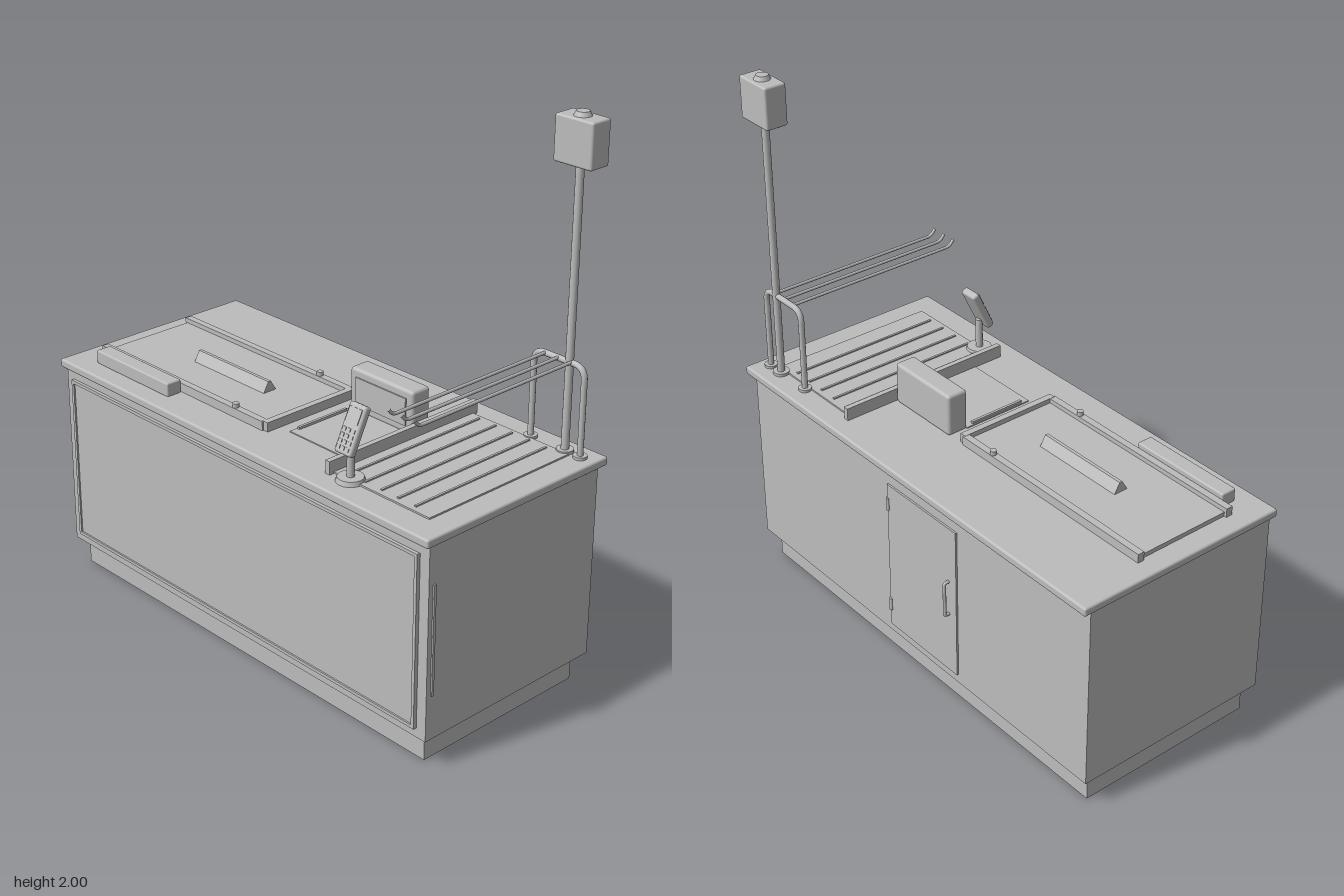
import * as THREE from 'three';
import { RoundedBoxGeometry } from 'three/addons/geometries/RoundedBoxGeometry.js';

const grey = new THREE.MeshStandardMaterial({ color: 0xbcbcbc });
grey.name = 'metalGrey';

export function createModel() {
  const root = new THREE.Group();
  root.name = 'checkoutCounter';

  const add = (name, geometry, parent = root) => {
    const mesh = new THREE.Mesh(geometry, grey);
    mesh.name = name;
    parent.add(mesh);
    return mesh;
  };
  const centre = (m, a, b, c, d, e, f) => (m.position.set((a + b) / 2, (c + d) / 2, (e + f) / 2), m);
  // Box given by its limits on x, y and z
  const box = (name, a, b, c, d, e, f, parent) =>
    centre(add(name, new THREE.BoxGeometry(b - a, d - c, f - e), parent), a, b, c, d, e, f);
  const soft = (name, a, b, c, d, e, f, r, parent) =>
    centre(add(name, new RoundedBoxGeometry(b - a, d - c, f - e, 3, r), parent), a, b, c, d, e, f);
  // Upright cylinder from y0 to y1
  const post = (name, x, z, y0, y1, r, parent, top = r) => {
    const m = add(name, new THREE.CylinderGeometry(top, r, y1 - y0, 20), parent);
    m.position.set(x, (y0 + y1) / 2, z);
    return m;
  };
  // Straight tube path with rounded corners
  const pipe = (name, points, bend, r, parent) => {
    const p = points.map(q => new THREE.Vector3(...q));
    const path = new THREE.CurvePath();
    let last = p[0];
    for (let i = 1; i < p.length - 1; i++) {
      const inn = p[i].clone().add(p[i - 1].clone().sub(p[i]).setLength(bend));
      const out = p[i].clone().add(p[i + 1].clone().sub(p[i]).setLength(bend));
      path.add(new THREE.LineCurve3(last, inn));
      path.add(new THREE.QuadraticBezierCurve3(inn, p[i], out));
      last = out;
    }
    path.add(new THREE.LineCurve3(last, p[p.length - 1]));
    return add(name, new THREE.TubeGeometry(path, 90, r, 10), parent);
  };

  // Cabinet
  box('plinth', -0.89, 0.88, 0, 0.11, -0.35, 0.36);
  box('cabinetBody', -0.92, 0.92, 0.105, 0.812, -0.385, 0.398);
  soft('worktop', -0.932, 0.932, 0.81, 0.842, -0.42, 0.42, 0.008);

  // Front panel with a raised border
  box('frontPanel', -0.88, 0.88, 0.14, 0.77, 0.39, 0.406);
  for (const y of [0.14, 0.76]) box('frontTrim', -0.88, 0.88, y, y + 0.012, 0.4, 0.412);
  for (const x of [-0.88, 0.868]) box('frontTrim', x, x + 0.012, 0.14, 0.772, 0.4, 0.412);
  box('sideStrip', 0.915, 0.926, 0.27, 0.67, 0.37, 0.38);

  // Rear door
  const door = new THREE.Group();
  door.name = 'rearDoor';
  root.add(door);
  box('doorLeaf', -0.26, 0.115, 0.14, 0.74, -0.392, -0.38, door);
  pipe('doorHandle', [[-0.22, 0.385, -0.385], [-0.22, 0.385, -0.41],
    [-0.22, 0.52, -0.41], [-0.22, 0.52, -0.385]], 0.008, 0.006, door);
  for (const y of [0.23, 0.66]) post('hinge', 0.112, -0.392, y - 0.025, y + 0.025, 0.007, door);

  // Conveyor
  const conveyor = new THREE.Group();
  conveyor.name = 'conveyor';
  root.add(conveyor);
  box('belt', -0.85, 0.015, 0.838, 0.858, -0.11, 0.26, conveyor);
  for (const z of [-0.135, 0.255]) {
    box('beltRail', -0.86, 0.02, 0.838, 0.875, z, z + 0.026, conveyor);
    post('beltSensor', -0.13, z + 0.013, 0.87, 0.89, 0.012, conveyor);
  }
  box('beltEnd', 0.015, 0.04, 0.838, 0.876, -0.128, 0.275, conveyor);
  soft('dividerTray', -0.81, -0.405, 0.84, 0.892, 0.284, 0.345, 0.006, conveyor);

  // Triangular goods divider on the belt
  const tri = new THREE.Shape([[-0.028, 0], [0.028, 0], [0.006, 0.038], [-0.006, 0.038]]
    .map(q => new THREE.Vector2(...q)));
  const divider = add('goodsDivider', new THREE.ExtrudeGeometry(tri, { depth: 0.375, bevelEnabled: false }), conveyor);
  divider.rotation.y = Math.PI / 2;
  divider.position.set(-0.55, 0.858, 0.075);

  // Scanner with upright housing and flat plate
  const scanner = new THREE.Group();
  scanner.name = 'scanner';
  root.add(scanner);
  soft('scannerHousing', 0.09, 0.39, 0.84, 1.0, -0.14, -0.058, 0.012, scanner);
  box('scannerWindow', 0.12, 0.36, 0.87, 0.97, -0.06, -0.053, scanner);
  box('scannerPlate', 0.09, 0.39, 0.838, 0.846, -0.06, 0.22, scanner);
  box('scannerEdge', 0.095, 0.105, 0.84, 0.855, -0.03, 0.19, scanner);

  // Packing area
  const packing = new THREE.Group();
  packing.name = 'packingArea';
  root.add(packing);
  box('packingWall', 0.393, 0.413, 0.838, 0.89, -0.35, 0.34, packing);
  box('packingPlate', 0.41, 0.84, 0.838, 0.848, -0.33, 0.32, packing);
  for (let i = 0; i < 5; i++)
    box('packingRib', 0.455 + i * 0.075, 0.463 + i * 0.075, 0.846, 0.853, -0.31, 0.3, packing);

  // Payment terminal
  const terminal = new THREE.Group();
  terminal.name = 'paymentTerminal';
  root.add(terminal);
  post('terminalFoot', 0.485, 0.315, 0.842, 0.858, 0.05, terminal, 0.045);
  post('terminalStem', 0.485, 0.315, 0.85, 0.97, 0.013, terminal);
  const head = new THREE.Group();
  head.name = 'terminalHead';
  head.position.set(0.485, 1.02, 0.308);
  head.rotation.x = -0.45;
  terminal.add(head);
  soft('terminalCase', -0.038, 0.038, -0.085, 0.085, -0.015, 0.015, 0.01, head);
  box('terminalScreen', -0.028, 0.028, 0.02, 0.07, 0.012, 0.018, head);
  for (let r = 0; r < 4; r++) for (let c = -1; c < 2; c++)
    box('terminalKey', c * 0.02 - 0.007, c * 0.02 + 0.007, -0.07 + r * 0.02, -0.058 + r * 0.02, 0.012, 0.018, head);

  // Bag rack: arch with three hooked rods
  const rack = new THREE.Group();
  rack.name = 'bagRack';
  root.add(rack);
  const zb = -0.345;
  pipe('rackArch', [[0.66, 0.84, zb], [0.66, 1.162, zb], [0.875, 1.162, zb], [0.875, 0.84, zb]], 0.045, 0.011, rack);
  for (const x of [0.66, 0.875]) post('rackFoot', x, zb, 0.84, 0.852, 0.024, rack);
  for (const x of [0.71, 0.765, 0.82])
    pipe('rackRod', [[x, 1.165, zb], [x, 1.165, 0.355], [x, 1.188, 0.375]], 0.015, 0.006, rack);

  // Lane light on its pole
  const light = new THREE.Group();
  light.name = 'laneLight';
  root.add(light);
  post('lightPoleFoot', 0.81, zb, 0.84, 0.853, 0.03, light);
  post('lightPole', 0.81, zb, 0.84, 1.84, 0.014, light);
  soft('lightBox', 0.733, 0.888, 1.83, 1.985, -0.388, -0.302, 0.008, light);
  post('lightCap', 0.81, zb, 1.98, 2.0, 0.032, light, 0.022);

  return root;
}
